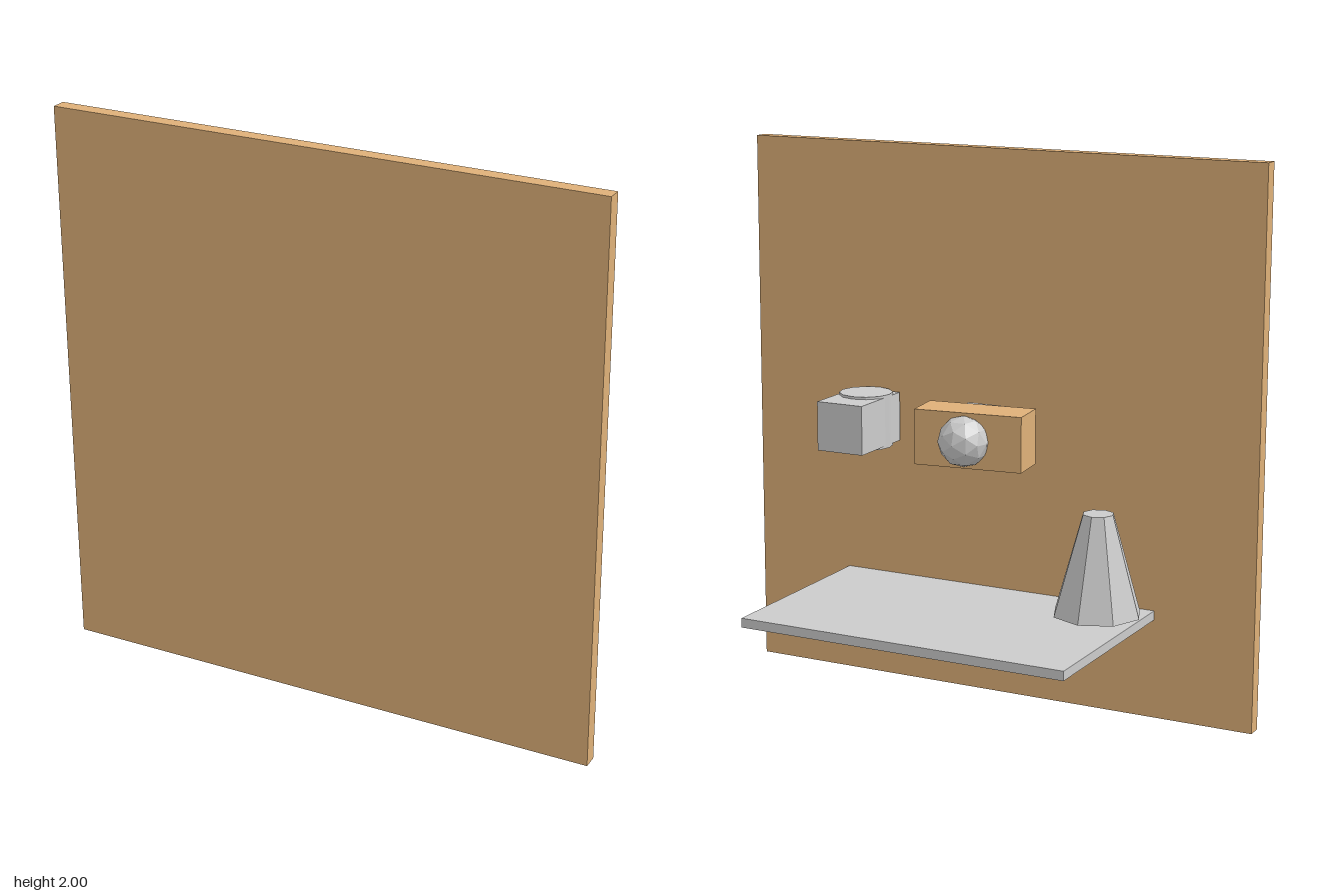
import * as THREE from 'three';

export function createModel() {
  const model = new THREE.Group();
  const grey = new THREE.MeshStandardMaterial({ color: 0xcccccc, flatShading: true });
  const wood = new THREE.MeshStandardMaterial({ color: 0xdeb078, flatShading: true });

  function add(name, geometry, material, x, y, z, parent = model) {
    const mesh = new THREE.Mesh(geometry, material);
    mesh.name = name;
    mesh.position.set(x, y, z);
    parent.add(mesh);
    return mesh;
  }
  const box = (w, h, d) => new THREE.BoxGeometry(w, h, d);

  // Wooden backboard and the shelf behind it
  add('backboard', box(2, 2, 0.054), wood, 0, 1, 0.376);
  add('shelf', box(1.245, 0.034, 0.755), grey, 0, 0.38, -0.027);

  // Eight-sided tapered post hovering just above the shelf
  add('taperedCone', new THREE.CylinderGeometry(0.056, 0.16, 0.36, 8), grey, -0.49, 0.603, 0.15);

  // Turned wooden block with a ball and a mounting block
  const centre = new THREE.Group();
  centre.name = 'centreBlock';
  centre.position.set(0, 1, 0);
  model.add(centre);
  add('woodenBlock', box(0.4, 0.2, 0.155), wood, 0, 0, 0.17, centre).rotation.y = 0.12;
  add('ball', new THREE.IcosahedronGeometry(0.092, 1), grey, 0, 0, 0.083, centre);
  add('mountingBlock', box(0.185, 0.18, 0.18), grey, 0, 0, 0.21, centre);

  // Upright drum merged with a block
  const side = new THREE.Group();
  side.name = 'sideBlock';
  side.position.set(0.488, 1, 0);
  model.add(side);
  add('drum', new THREE.CylinderGeometry(0.098, 0.098, 0.198, 12), grey, 0, 0, 0.25, side);
  add('block', box(0.184, 0.18, 0.28), grey, 0, 0, 0.197, side);

  return model;
}
